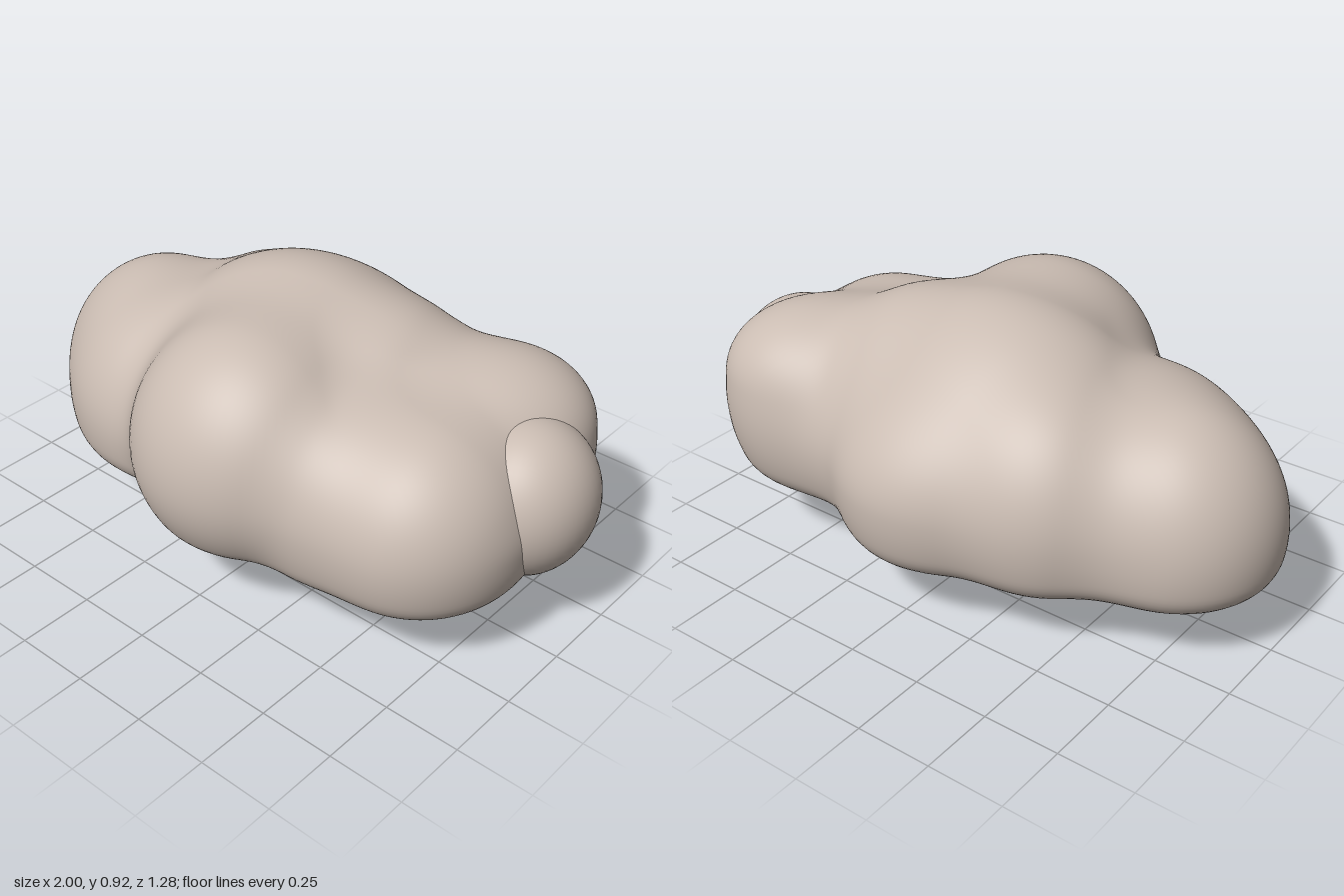
import * as THREE from 'three';
import { mergeVertices } from 'three/addons/utils/BufferGeometryUtils.js';

const BASE = 0.18; // flat underside of the cloud

// Cloud lobes: centre x, equator y, centre z, radius x, top y, radius z
const LOBES = [
  [0, 0.36, 0, 0.83, 0.55, 0.43],          // broad base
  [-0.05, 0.4, -0.07, 0.56, 0.925, 0.44],  // main dome
  [-0.06, 0.42, -0.18, 0.52, 0.79, 0.4],   // broad back
  [0, 0.42, -0.35, 0.28, 0.66, 0.275],     // back
  [-0.37, 0.4, -0.24, 0.27, 0.75, 0.275],  // back right
  [-0.64, 0.35, -0.03, 0.36, 0.745, 0.34], // right end
  [-0.46, 0.36, 0.13, 0.34, 0.72, 0.31],   // front right
  [0.03, 0.48, 0.26, 0.39, 0.895, 0.38],   // front
  [0.28, 0.42, -0.1, 0.3, 0.85, 0.36],     // upper left
  [0.36, 0.42, 0.2, 0.2, 0.72, 0.29],      // front gap
  [0.56, 0.39, 0.11, 0.34, 0.74, 0.36],    // front left
  [0.54, 0.42, -0.2, 0.33, 0.78, 0.32],    // back left
  [0.63, 0.57, -0.28, 0.21, 0.74, 0.21],   // upper back left
];

// Approximate distance to one lobe; its lower half is a little deeper
function lobeDistance(p, [cx, cy, cz, rx, top, rz]) {
  const x = p.x - cx, y = p.y - cy, z = p.z - cz;
  const ry = y > 0 ? top - cy : 0.38;
  const k0 = Math.hypot(x / rx, y / ry, z / rz);
  const k1 = Math.hypot(x / rx ** 2, y / ry ** 2, z / rz ** 2);
  return k1 < 1e-6 ? -Math.min(rx, ry, rz) : k0 * (k0 - 1) / k1;
}

function smoothMin(a, b, k) {
  const h = Math.max(k - Math.abs(a - b), 0) / k;
  return Math.min(a, b) - h * h * k / 4;
}

// Blended lobes, cut by the underside with a rounded rim
function cloudDistance(p) {
  let d = 1;
  for (const lobe of LOBES) d = smoothMin(d, lobeDistance(p, lobe), 0.12);
  return -smoothMin(-d, p.y - BASE, 0.11);
}

// Push every vertex of a sphere out from the core to the blended surface
function cloudGeometry() {
  const sphere = new THREE.SphereGeometry(1, 180, 100);
  sphere.deleteAttribute('uv');
  sphere.deleteAttribute('normal');
  const geometry = mergeVertices(sphere, 1e-5);
  const pos = geometry.attributes.position;
  const core = new THREE.Vector3(0, 0.4, 0);
  const dir = new THREE.Vector3(), p = new THREE.Vector3();
  for (let i = 0; i < pos.count; i++) {
    dir.fromBufferAttribute(pos, i).multiply(new THREE.Vector3(1, 0.5, 0.64));
    let near = 0, far = 2;
    for (let step = 0; step < 22; step++) {
      const mid = (near + far) / 2;
      if (cloudDistance(p.copy(core).addScaledVector(dir, mid)) < 0) near = mid;
      else far = mid;
    }
    p.copy(core).addScaledVector(dir, near);
    pos.setXYZ(i, p.x, p.y, p.z);
  }
  geometry.computeVertexNormals();
  return geometry;
}

export function createModel() {
  const model = new THREE.Group();
  const stone = new THREE.MeshStandardMaterial({ color: 0xcabcb2 });
  stone.name = 'warm grey';
  const dark = new THREE.MeshStandardMaterial({ color: 0x2b2a29 });
  dark.name = 'charcoal';

  const add = (parent, name, geometry, material, x = 0, y = 0, z = 0) => {
    const mesh = new THREE.Mesh(geometry, material);
    mesh.name = name;
    mesh.position.set(x, y, z);
    parent.add(mesh);
    return mesh;
  };
  const group = (name) => {
    const g = new THREE.Group();
    g.name = name;
    model.add(g);
    return g;
  };

  // Cloud body with one distinct puff on its left end
  const cloud = group('cloud');
  add(cloud, 'cloudBody', cloudGeometry(), stone);
  add(cloud, 'leftEndPuff', new THREE.SphereGeometry(1, 48, 32), stone, 0.78, 0.445, -0.095)
    .scale.set(0.22, 0.25, 0.235);

  // Thin crossbar with its hangers
  const hanger = group('hanger');
  add(hanger, 'crossbar', new THREE.BoxGeometry(0.525, 0.002, 0.008), dark, 0.003, 0.13, -0.025);
  const cord = (name, points) => add(hanger, name, new THREE.TubeGeometry(
    new THREE.CatmullRomCurve3(points.map(p => new THREE.Vector3(...p))),
    4, 0.002, 6), dark);
  for (const x of [-0.055, 0.057]) {
    cord('straightCord', [[x, 0.13, -0.022], [x, 0.185, -0.022]]);
    cord('slantedCord', [[x, 0.128, -0.045], [x, 0.185, -0.027]]);
  }
  add(hanger, 'upperRail', new THREE.BoxGeometry(0.112, 0.003, 0.004), dark, 0.001, 0.175, -0.024);

  // Sagging chain trailing towards the back
  const sag = new THREE.QuadraticBezierCurve3(
    new THREE.Vector3(0.005, 0.125, 0),
    new THREE.Vector3(0.005, 0.094, -0.13),
    new THREE.Vector3(0.005, 0.127, -0.26));
  for (let i = 0; i < 14; i++) {
    const link = add(hanger, 'chainLink', new THREE.BoxGeometry(0.002, 0.002, 0.01), dark);
    const t = (i + 0.5) / 14;
    link.position.copy(sag.getPoint(t));
    link.lookAt(link.position.clone().add(sag.getTangent(t)));
  }

  // Hanging sign: small upper plate and larger lower plate
  const sign = group('sign');
  sign.position.set(0.009, 0, -0.015);
  add(sign, 'upperPlate', new THREE.BoxGeometry(0.01, 0.03, 0.112), stone, 0, 0.14, 0);
  add(sign, 'lowerPlate', new THREE.BoxGeometry(0.01, 0.108, 0.112), stone, 0, 0.054, 0);
  for (const z of [-0.035, 0.035])
    add(sign, 'signLink', new THREE.BoxGeometry(0.002, 0.02, 0.002), dark, 0, 0.116, z);

  // Column ornament on both faces of the lower plate
  for (const side of [-1, 1]) {
    const bar = (name, y, z, h, w) =>
      add(sign, name, new THREE.BoxGeometry(0.002, h, w), dark, side * 0.0055, y, z);
    bar('ornamentTop', 0.094, 0, 0.003, 0.062);
    bar('ornamentCap', 0.086, 0, 0.005, 0.05);
    bar('ornamentFoot', 0.033, 0, 0.003, 0.056);
    for (const z of [-0.021, -0.008, 0.008, 0.021]) bar('ornamentBar', 0.062, z, 0.045, 0.008);
    for (const y of [0.006, 0.02]) bar('smallFrameBar', y, -0.005, 0.002, 0.028);
    for (const z of [-0.018, 0.008]) bar('smallFramePost', 0.013, z, 0.014, 0.002);
    bar('smallFrameCentre', 0.013, -0.005, 0.007, 0.01);
  }
  return model;
}
